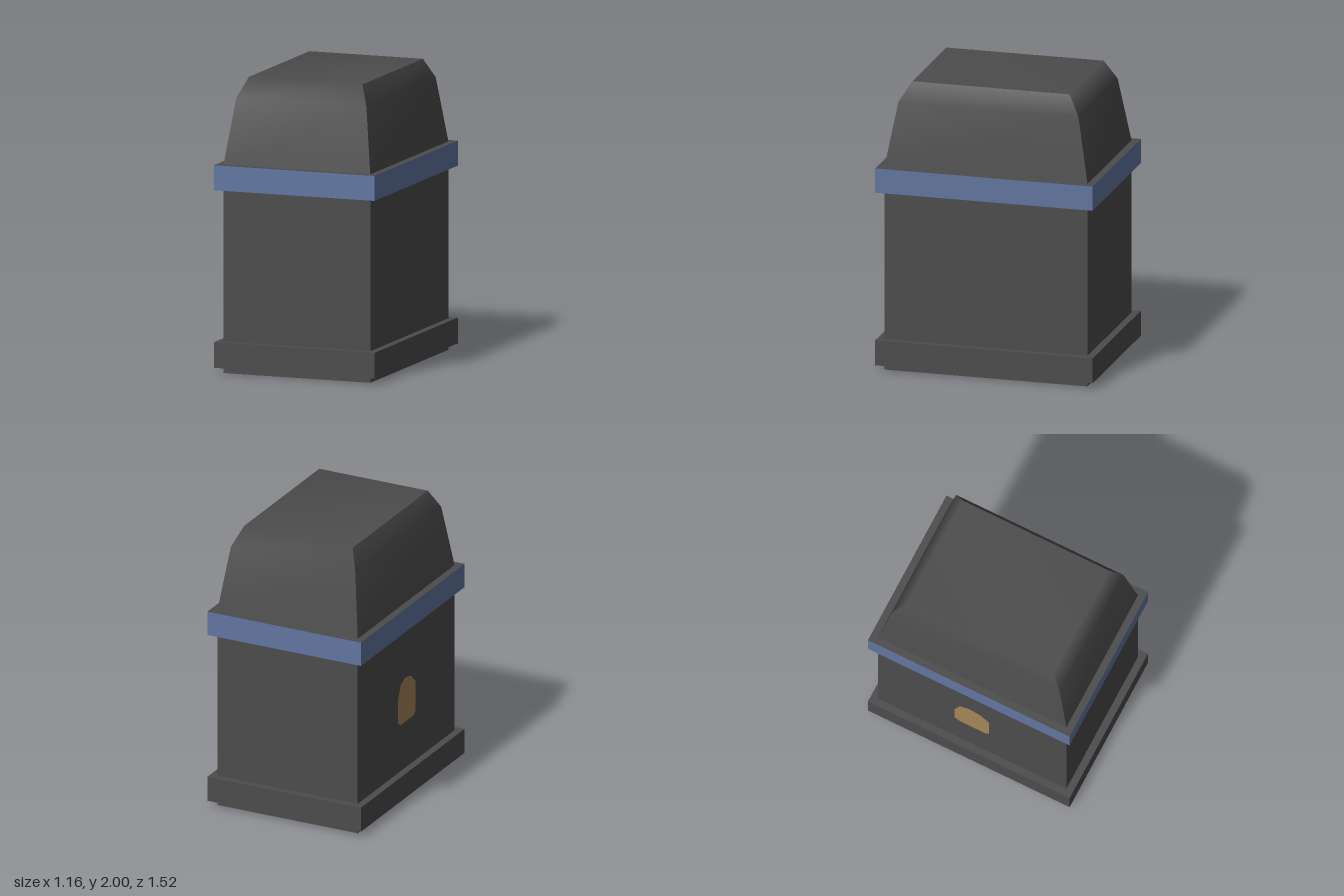
import * as THREE from 'three';

export function createModel() {
  const model = new THREE.Group();
  const make = (name, color) => {
    const m = new THREE.MeshStandardMaterial({ color });
    m.name = name;
    return m;
  };
  const charcoal = make('charcoal', 0x4c4c4c);
  const blue = make('blue', 0x6176a0);
  const tan = make('tan', 0xa58658);

  const add = (name, geometry, material) => {
    const mesh = new THREE.Mesh(geometry, material);
    mesh.name = name;
    model.add(mesh);
    return mesh;
  };
  const box = (name, w, d, y0, y1, material) => {
    const mesh = add(name, new THREE.BoxGeometry(w, y1 - y0, d), material);
    mesh.position.y = (y0 + y1) / 2;
  };

  // Body, plinth and collar; only the collar's upright faces are blue
  box('body', 1.06, 1.42, 0, 1.42, charcoal);
  box('plinth', 1.16, 1.52, 0.04, 0.215, charcoal);
  box('collar', 1.16, 1.52, 1.25, 1.42, [blue, blue, charcoal, charcoal, blue, blue]);

  // Lid levels: height, half width, half depth
  const levels = [[1.42, 0.53, 0.71], [1.865, 0.47, 0.63], [2, 0.41, 0.55]];

  // Smooth panel made from a row of crosswise point pairs
  const panel = (pairs) => {
    const index = [];
    for (let i = 0; i < pairs.length - 1; i++) {
      const a = i * 2;
      index.push(a, a + 1, a + 3, a, a + 3, a + 2);
    }
    const g = new THREE.BufferGeometry();
    g.setAttribute('position', new THREE.Float32BufferAttribute(pairs.flat(2), 3));
    g.setIndex(index);
    g.computeVertexNormals();
    return g;
  };

  // Front, top and back of the lid run together as one curved sheet
  const front = levels.map(([y, x, z]) => [[-x, y, z], [x, y, z]]);
  const back = [...levels].reverse().map(([y, x, z]) => [[-x, y, -z], [x, y, -z]]);
  add('lidTop', panel([...front, ...back]), charcoal);

  // Sides of the lid, creased along the hips
  for (const s of [1, -1]) {
    const side = levels.map(([y, x, z]) => [[s * x, y, s * z], [s * x, y, -s * z]]);
    add(s > 0 ? 'lidLeftSide' : 'lidRightSide', panel(side), charcoal);
  }

  // Small rounded plate on the right side
  const outline = [[-0.13, 0.58], [-0.13, 0.74], [-0.09, 0.845], [-0.02, 0.878], [0.06, 0.86],
    [0.13, 0.795], [0.13, 0.58], [0.1, 0.553], [-0.09, 0.555]];
  const shape = new THREE.Shape(outline.reverse().map(([z, y]) => new THREE.Vector2(z, y)));
  const plate = add('sidePlate', new THREE.ShapeGeometry(shape), tan);
  plate.rotation.y = -Math.PI / 2;
  plate.position.x = -0.534;

  return model;
}
